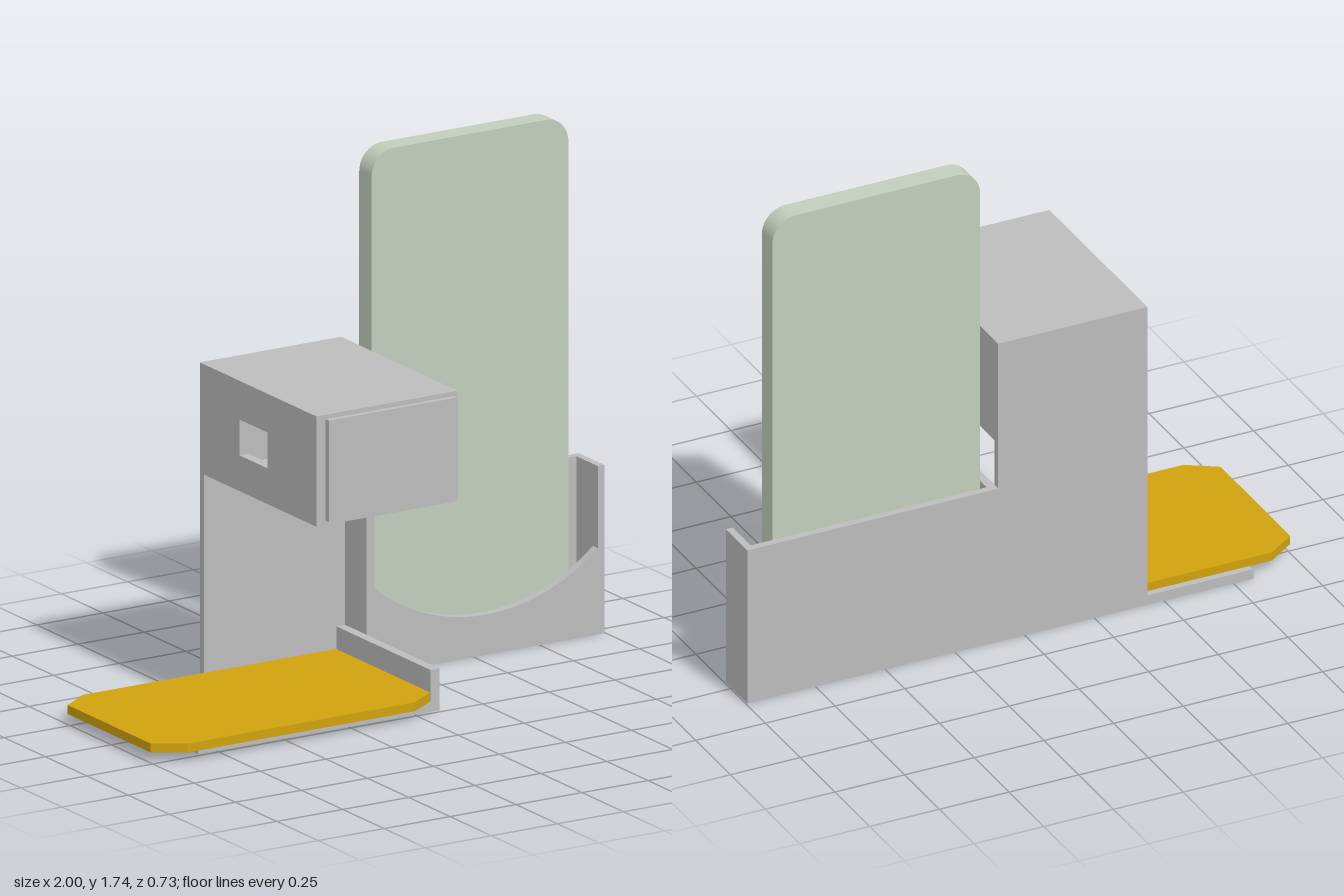
import * as THREE from 'three';

export function createModel() {
  const model = new THREE.Group();
  const grey = new THREE.MeshStandardMaterial({ color: 0xbcbcbc });
  grey.name = 'grey board';
  const amber = new THREE.MeshStandardMaterial({ color: 0xd0a20e });
  amber.name = 'amber tray';
  const sage = new THREE.MeshStandardMaterial({ color: 0xc2cebc });
  sage.name = 'pale sage';

  const add = (name, geometry, material) => {
    const mesh = new THREE.Mesh(geometry, material);
    mesh.name = name;
    model.add(mesh);
    return mesh;
  };
  // Box given by its limits on each axis
  const board = (name, [x0, x1], [y0, y1], [z0, z1], material = grey) =>
    add(name, new THREE.BoxGeometry(x1 - x0, y1 - y0, z1 - z0), material)
      .position.set((x0 + x1) / 2, (y0 + y1) / 2, (z0 + z1) / 2);
  const polygon = (points) => new THREE.Shape(points.map(([x, y]) => new THREE.Vector2(x, y)));
  const rect = (x0, x1, y0, y1) => polygon([[x0, y0], [x1, y0], [x1, y1], [x0, y1]]);
  const extrude = (shape, depth) =>
    new THREE.ExtrudeGeometry(shape, { depth, bevelEnabled: false, curveSegments: 24 });

  // Base and upright
  board('basePlate', [-0.82, 0.095], [0, 0.035], [-0.335, 0.235]);
  board('baseBackEdge', [-0.82, -0.44], [0, 0.035], [-0.36, -0.335]);
  board('baseSideWall', [0.062, 0.095], [0.035, 0.14], [-0.335, 0.235]);
  board('uprightBack', [-0.44, 0.095], [0, 1.1], [-0.36, -0.335]);

  // Tray with cut corners, outline in x and -z
  const tray = polygon([
    [-1, -0.235], [-0.9, -0.3], [-0.04, -0.3], [0.06, -0.235],
    [0.06, 0.335], [-0.9, 0.335], [-1, 0.265],
  ]);
  add('tray', extrude(tray, 0.03).rotateX(-Math.PI / 2).translate(0, 0.035, 0), amber);

  // Overhanging box: top, right wall and front panel
  board('boxTop', [-0.44, 0.095], [1.085, 1.1], [-0.335, 0.345]);
  board('boxLeftWall', [0.083, 0.095], [0.73, 1.085], [-0.335, 0.345]);
  board('boxFrontPanel', [-0.405, 0.083], [0.745, 1.085], [0.335, 0.365]);

  // Box side with a small window, outline in z and y
  const side = rect(-0.335, 0.345, 0.73, 1.085);
  side.holes.push(rect(-0.12, 0.05, 0.85, 0.97));
  add('boxRightWall', extrude(side, 0.035).rotateY(-Math.PI / 2).translate(-0.405, 0, 0), grey);

  // Box floor with an outlet opening, outline in x and -z
  const floor = rect(-0.405, 0.083, -0.345, 0.335);
  floor.holes.push(rect(-0.38, -0.02, -0.31, 0.02));
  add('boxFloor', extrude(floor, 0.015).rotateX(-Math.PI / 2).translate(0, 0.73, 0), grey);

  // Holder pocket
  board('holderBack', [0.095, 0.995], [0, 0.565], [-0.36, -0.335]);
  board('holderFloor', [0.095, 0.995], [0, 0.03], [-0.335, -0.235]);
  board('holderRightWall', [0.095, 0.125], [0.03, 0.565], [-0.335, -0.235]);
  board('holderLeftWall', [0.97, 0.995], [0.03, 0.565], [-0.335, -0.235]);

  // Holder front with a curved scoop
  const front = new THREE.Shape();
  front.moveTo(0.095, 0);
  front.lineTo(0.995, 0);
  front.lineTo(0.995, 0.565);
  front.lineTo(0.97, 0.565);
  front.lineTo(0.97, 0.29);
  const a = Math.atan2(0.498, 0.4225);
  front.absarc(0.5475, 0.788, 0.653, -a, a - Math.PI, true);
  front.lineTo(0.125, 0.565);
  front.lineTo(0.095, 0.565);
  front.closePath();
  add('holderFront', extrude(front, 0.03).translate(0, 0, -0.235), grey);

  // Rounded slab standing in the holder
  const [x0, x1, y0, y1, r] = [0.145, 0.89, 0.03, 1.74, 0.085];
  const slab = new THREE.Shape();
  slab.absarc(x1 - r, y0 + r, r, -Math.PI / 2, 0);
  slab.absarc(x1 - r, y1 - r, r, 0, Math.PI / 2);
  slab.absarc(x0 + r, y1 - r, r, Math.PI / 2, Math.PI);
  slab.absarc(x0 + r, y0 + r, r, Math.PI, Math.PI * 1.5);
  slab.closePath();
  add('slab', extrude(slab, 0.075).translate(0, 0, -0.33), sage);

  return model;
}
